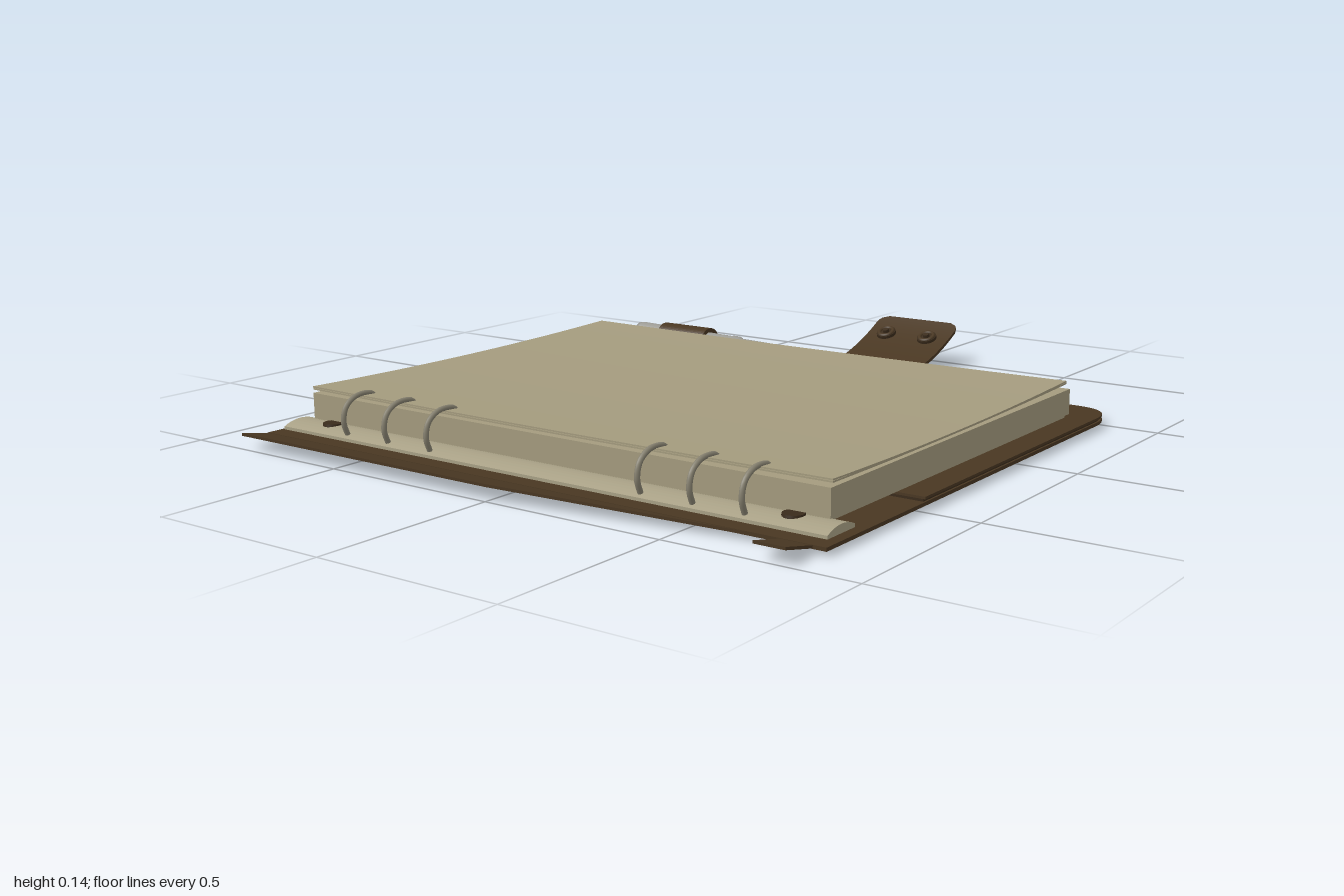
import * as THREE from 'three';

const mat = (name, color) => {
  const m = new THREE.MeshStandardMaterial({ color });
  m.name = name;
  return m;
};

export function createModel() {
  const root = new THREE.Group();
  root.name = 'ringBinder';
  const leather = mat('brownLeather', 0x493722);
  const darkLeather = mat('darkLeather', 0x3a2b1b);
  const paper = mat('paper', 0xa49b7e);
  const bar = mat('creamBar', 0xa8a085);
  const metal = mat('ringMetal', 0x85806f);
  const silver = mat('penSilver', 0x9c9b95);

  const add = (name, geometry, material, x = 0, y = 0, z = 0, parent = root) => {
    const m = new THREE.Mesh(geometry, material);
    m.name = name;
    m.position.set(x, y, z);
    parent.add(m);
    return m;
  };
  // Box given by its limits
  const block = (name, x0, x1, y0, y1, z0, z1, material) =>
    add(name, new THREE.BoxGeometry(x1 - x0, y1 - y0, z1 - z0), material,
      (x0 + x1) / 2, (y0 + y1) / 2, (z0 + z1) / 2);
  // Flat panel with rounded corners on its +x side
  const panel = (name, x0, x1, halfZ, r, y0, y1, material) => {
    const s = new THREE.Shape();
    s.moveTo(x0, -halfZ);
    s.lineTo(x1 - r, -halfZ);
    s.quadraticCurveTo(x1, -halfZ, x1, -halfZ + r);
    s.lineTo(x1, halfZ - r);
    s.quadraticCurveTo(x1, halfZ, x1 - r, halfZ);
    s.lineTo(x0, halfZ);
    s.closePath();
    const g = new THREE.ExtrudeGeometry(s, { depth: y1 - y0, bevelEnabled: false, curveSegments: 10 });
    g.rotateX(-Math.PI / 2);
    return add(name, g, material, 0, y0, 0);
  };
  // Moves every vertex of a geometry by a rule
  const bend = (g, rule) => {
    const p = g.attributes.position;
    const v = new THREE.Vector3();
    for (let i = 0; i < p.count; i++) {
      rule(v.fromBufferAttribute(p, i));
      p.setXYZ(i, v.x, v.y, v.z);
    }
    g.computeVertexNormals();
    return g;
  };

  // Cover: outer skin, stiffener and inner pocket
  panel('coverOuter', -0.9, 0.545, 0.855, 0.11, 0.015, 0.024, leather);
  panel('coverStiffener', -0.49, 0.54, 0.85, 0.11, 0.024, 0.03, darkLeather);
  panel('coverLining', -0.49, 0.545, 0.855, 0.11, 0.03, 0.036, leather);

  // Torn spine flap and small tab, sloping up to the left
  const flap = (name, pts) => {
    const s = new THREE.Shape(pts.map(([x, z]) => new THREE.Vector2(x, -z)));
    const g = new THREE.ExtrudeGeometry(s, { depth: 0.007, bevelEnabled: false });
    g.rotateX(-Math.PI / 2);
    bend(g, (v) => { v.y += 0.016 + (-0.9 - v.x) * 0.22; });
    add(name, g, leather);
  };
  flap('spineFlap', [[-0.9, -0.855], [-1, -0.835], [-1, 0], [-0.9, 0.66]]);
  flap('spineTab', [[-0.9, 0.74], [-1, 0.74], [-1, 0.82], [-0.9, 0.82]]);

  // Closing strap, curving upward with rounded end
  const strapY = (x) => 0.008 + 0.117 * Math.pow(Math.max(0, (x - 0.5) / 0.5), 2.5);
  const strap = new THREE.BoxGeometry(0.7, 0.01, 0.28, 70, 1, 1);
  strap.translate(0.65, 0, 0);
  bend(strap, (v) => {
    const d = Math.max(0, v.x - 0.97);
    v.z -= Math.sign(v.z) * (0.03 - Math.sqrt(Math.max(0, 0.0009 - d * d)));
    v.y += strapY(v.x);
  });
  add('strap', strap, leather);

  // Two snap fasteners on the strap
  for (const z of [-0.075, 0.07]) {
    const snap = new THREE.Group();
    snap.name = 'snap';
    snap.position.set(0.922, strapY(0.922), z);
    snap.rotation.z = 0.42;
    add('snapBase', new THREE.CylinderGeometry(0.03, 0.033, 0.026, 24), darkLeather, 0, 0, 0, snap);
    const rim = add('snapRim', new THREE.TorusGeometry(0.022, 0.006, 8, 24), leather, 0, 0.013, 0, snap);
    rim.rotation.x = Math.PI / 2;
    add('snapStud', new THREE.CylinderGeometry(0.009, 0.011, 0.012, 16), darkLeather, 0, 0.016, 0, snap);
    root.add(snap);
  }

  // Page stack with loose, gently curled sheets
  block('pageStack', -0.79, 0.39, 0.048, 0.116, -0.8, 0.795, paper);
  block('backSheet', -0.785, 0.385, 0.038, 0.046, -0.79, 0.785, paper);
  for (let i = 0; i < 2; i++) {
    const g = new THREE.BoxGeometry(1.18, 0.004, 1.6, 20, 1, 20);
    bend(g, (v) => {
      const u = v.x / 0.59, w = (v.z + 0.2) / 0.8;
      v.y += 0.119 + i * (0.001 + 0.004 * u * u) + 0.006 * u * u + 0.003 * w * w;
      if (v.z > 0) v.z -= 0.008 * (u + 1);
      v.x -= 0.2;
    });
    add('topSheet', g, paper);
  }

  // Ring bar with shallow arched top
  const arch = new THREE.Shape();
  arch.moveTo(-0.055, 0);
  arch.lineTo(0.055, 0);
  arch.lineTo(0.055, 0.008);
  arch.quadraticCurveTo(0, 0.034, -0.055, 0.008);
  arch.closePath();
  add('ringBar', new THREE.ExtrudeGeometry(arch, { depth: 1.67, bevelEnabled: false, curveSegments: 10 }),
    bar, -0.803, 0.026, -0.84);
  for (const z of [-0.715, 0.71]) {
    add('barRivet', new THREE.CylinderGeometry(0.026, 0.028, 0.012, 20), darkLeather, -0.803, 0.045, z);
  }

  // Six binder rings
  const ringPath = new THREE.CatmullRomCurve3([
    [-0.84, 0.036], [-0.853, 0.075], [-0.843, 0.112], [-0.815, 0.132], [-0.785, 0.137], [-0.752, 0.131], [-0.745, 0.118],
    [-0.742, 0.08], [-0.755, 0.038],
  ].map(([x, y]) => new THREE.Vector3(x, y, 0)));
  const ringGeo = new THREE.TubeGeometry(ringPath, 32, 0.007, 8);
  for (const z of [-0.62, -0.475, -0.33, 0.325, 0.47, 0.61]) add('ring', ringGeo, metal, 0, 0, z);

  // Pen, tilted a little, with cap, collar and clip
  const pen = new THREE.Group();
  pen.name = 'pen';
  pen.position.set(0.46, 0.084, -0.27);
  pen.rotation.x = Math.PI / 2 + 0.025;
  const profile = [
    [0, -0.43], [0.034, -0.43], [0.036, -0.42], [0.036, -0.08], [0.038, -0.075], [0.038, -0.055],
    [0.033, -0.05], [0.031, 0.3], [0.031, 0.42], [0.027, 0.43], [0, 0.43],
  ].map(([r, y]) => new THREE.Vector2(r, y));
  const body = new THREE.LatheGeometry(profile, 28);
  add('penBody', body, silver, 0, 0, 0, pen);
  root.add(pen);

  // Pen loop: a leather band wrapped round the pen, with a tail on the cover
  const outer = new THREE.Shape();
  outer.absarc(0, 0, 0.05, 0, Math.PI * 2, false);
  const hole = new THREE.Path();
  hole.absarc(0, 0, 0.038, 0, Math.PI * 2, true);
  outer.holes.push(hole);
  const loopOpts = { depth: 0.17, bevelEnabled: false, curveSegments: 24 };
  add('penLoop', new THREE.ExtrudeGeometry(outer, loopOpts), leather, 0.458, 0.088, -0.6);
  const tail = new THREE.Shape();
  tail.moveTo(0.496, 0.088);
  tail.quadraticCurveTo(0.5, 0.06, 0.515, 0.036);
  tail.lineTo(0.525, 0.036);
  tail.quadraticCurveTo(0.51, 0.06, 0.508, 0.088);
  tail.closePath();
  add('penLoopTail', new THREE.ExtrudeGeometry(tail, loopOpts), leather, 0, 0, -0.6);

  return root;
}
